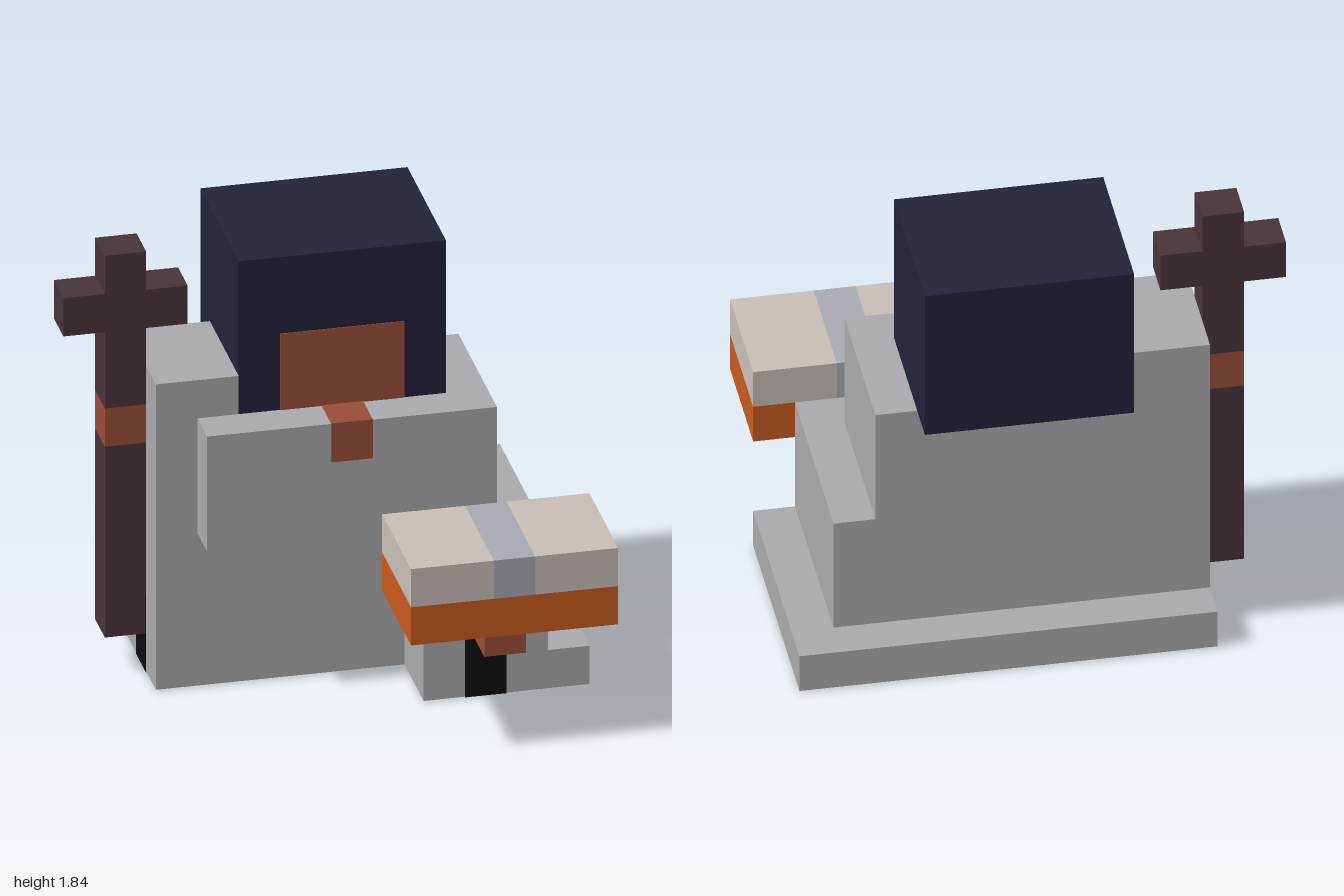
import * as THREE from 'three';

const UNIT = 1 / 6; // one block of the model
const Z_SHIFT = -4.5; // block rows count forward from the back
const E = 0.02; // thickness of painted plates, in blocks

export function createModel() {
  const model = new THREE.Group();
  model.name = 'blockFigure';

  const paint = (name, hex) => {
    const m = new THREE.MeshStandardMaterial({ color: hex });
    m.name = name;
    return m;
  };
  const robe = paint('robeGrey', 0xaaaaae);
  const hood = paint('hoodNavy', 0x22223a);
  const skin = paint('skinBrown', 0x9a4e3a);
  const wood = paint('darkWood', 0x48343a);
  const orange = paint('orange', 0xc85b20);
  const cream = paint('cream', 0xc8beb8);
  const steel = paint('paleBlueGrey', 0xa9aab2);
  const black = paint('black', 0x0d0d0d);

  const group = (name) => {
    const g = new THREE.Group();
    g.name = name;
    model.add(g);
    return g;
  };

  // Box between block coordinates, ranges given as [min, max]
  const box = (parent, name, mat, [x0, x1], [y0, y1], [z0, z1]) => {
    const geo = new THREE.BoxGeometry((x1 - x0) * UNIT, (y1 - y0) * UNIT, (z1 - z0) * UNIT);
    const mesh = new THREE.Mesh(geo, mat);
    mesh.name = name;
    mesh.position.set(
      ((x0 + x1) / 2) * UNIT,
      ((y0 + y1) / 2) * UNIT,
      ((z0 + z1) / 2 + Z_SHIFT) * UNIT
    );
    parent.add(mesh);
  };

  // Robe: L-shaped hem, stepped body and raised right shoulder
  const body = group('robe');
  box(body, 'hemBack', robe, [-4, 6], [0, 1], [0, 4]);
  box(body, 'hemFront', robe, [2, 6], [0, 1], [4, 6]);
  box(body, 'skirt', robe, [-4, 2], [1, 4], [1, 4]);
  box(body, 'leftSkirt', robe, [2, 5], [1, 4], [1, 6]);
  box(body, 'chest', robe, [-3, 4], [4, 7], [1, 5]);
  box(body, 'rightSide', robe, [-4, -3], [4, 7], [1, 4]);
  box(body, 'rightShoulder', robe, [-4, -2], [7, 8], [1, 4]);

  // Black openings on the front, right side and underside
  const lining = group('lining');
  box(lining, 'frontOpening', black, [3, 4], [0, 2], [6, 6 + E]);
  box(lining, 'sideOpening', black, [-4 - E, -4], [0, 2], [2, 3]);
  box(lining, 'soleBack', black, [-3, 5], [-E, 0], [1, 3]);
  box(lining, 'soleLeft', black, [3, 5], [-E, 0], [3, 5]);
  box(lining, 'soleFrontEnd', black, [3, 4], [-E, 0], [5, 6]);
  box(lining, 'soleRightEnd', black, [-4, -3], [-E, 0], [2, 3]);

  // Head with face plate and chin
  const head = group('head');
  box(head, 'hood', hood, [-2, 3], [7, 11], [0, 4]);
  box(head, 'face', skin, [-1, 2], [7, 9], [4, 4 + E]);
  box(head, 'chinFront', skin, [0, 1], [6, 7], [5, 5 + E]);
  box(head, 'chinTop', skin, [0, 1], [7, 7 + E], [4, 5 + E]);

  // Cross-topped staff held by the right hand
  const staff = group('staff');
  box(staff, 'lowerShaft', wood, [-5, -4], [1, 6], [2, 3]);
  box(staff, 'rightHand', skin, [-5, -4], [6, 7], [2, 3]);
  box(staff, 'upperShaft', wood, [-5, -4], [7, 11], [2, 3]);
  box(staff, 'crossArmRight', wood, [-6, -5], [9, 10], [2, 3]);
  box(staff, 'crossArmLeft', wood, [-4, -3], [9, 10], [2, 3]);

  // Book carried on the left hand, with a ribbon across its top layer
  const book = group('book');
  box(book, 'leftHand', skin, [3, 4], [2, 3], [6, 8]);
  box(book, 'cover', orange, [1, 6], [3, 4], [6, 9]);
  box(book, 'rightPage', cream, [1, 3], [4, 5], [6, 9]);
  box(book, 'ribbon', steel, [3, 4], [4, 5], [6, 9]);
  box(book, 'leftPage', cream, [4, 6], [4, 5], [6, 9]);

  return model;
}
